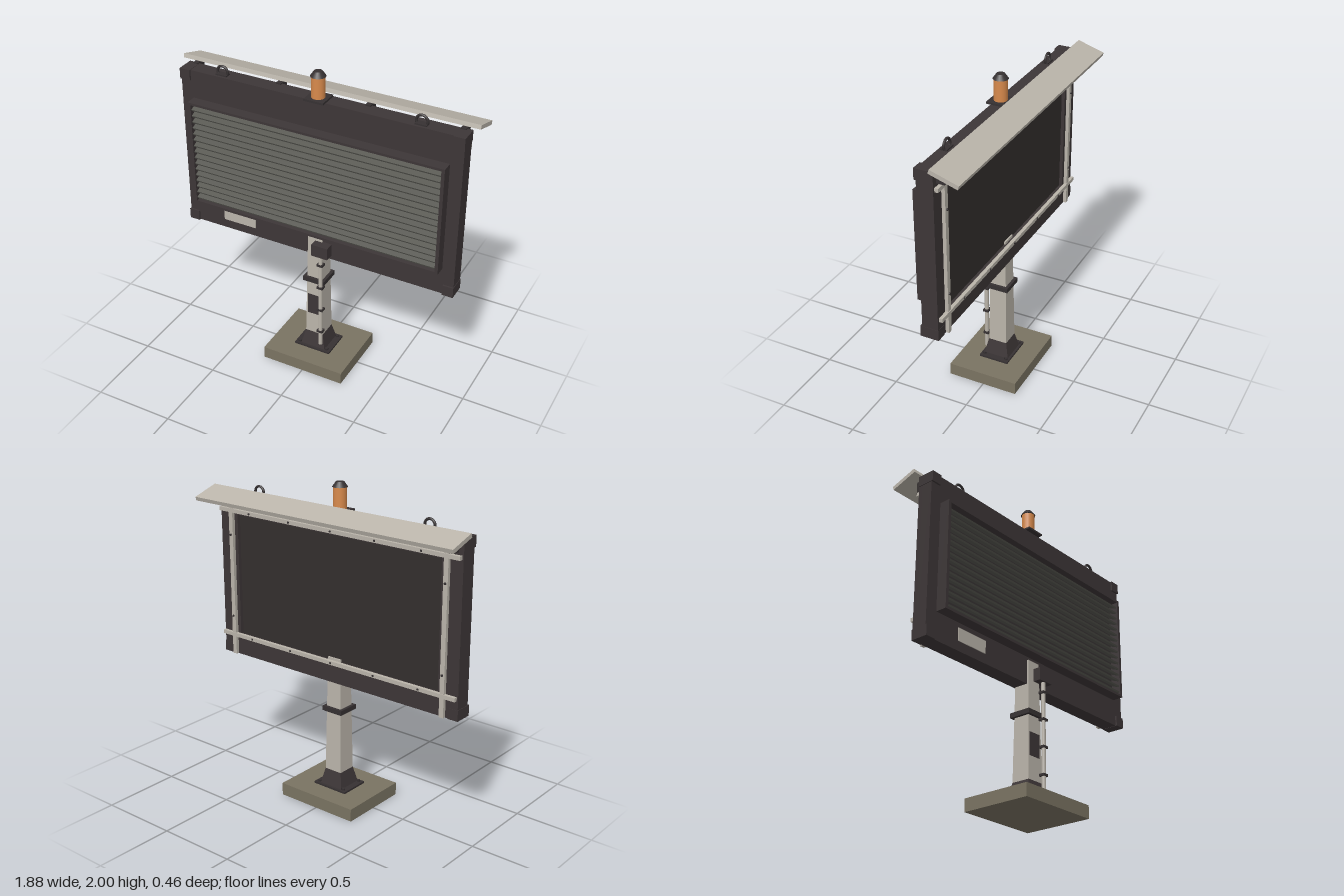
import * as THREE from 'three';

const mat = (name, color) => {
  const m = new THREE.MeshStandardMaterial({ color });
  m.name = name;
  return m;
};

export function createModel() {
  const root = new THREE.Group();
  root.name = 'roadsideDisplay';
  const housing = mat('housing charcoal', 0x3d3637);
  const hardware = mat('dark hardware', 0x363132);
  const screen = mat('screen black', 0x332e2d);
  const steel = mat('pale steel', 0xbab4aa);
  const slatGrey = mat('slat grey', 0x55554f);
  const concrete = mat('concrete', 0x7a7362);
  const amber = mat('amber', 0xd88a4c);

  const add = (name, geo, material, x = 0, y = 0, z = 0) => {
    const m = new THREE.Mesh(geo, material);
    m.name = name;
    m.position.set(x, y, z);
    root.add(m);
    return m;
  };
  // Box given by its lower and upper limits
  const box = (name, material, x0, x1, y0, y1, z0, z1) =>
    add(name, new THREE.BoxGeometry(x1 - x0, y1 - y0, z1 - z0), material,
      (x0 + x1) / 2, (y0 + y1) / 2, (z0 + z1) / 2);
  // Rectangular frame: outer and inner limits as [x half width, y0, y1]
  const frame = (name, material, [ox, oy0, oy1], [ix, iy0, iy1], z0, z1) => {
    const rect = (P, w, a, b) => new P([[-w, a], [w, a], [w, b], [-w, b]].map(p => new THREE.Vector2(...p)));
    const s = rect(THREE.Shape, ox, oy0, oy1);
    s.holes.push(rect(THREE.Path, ix, iy0, iy1));
    return add(name, new THREE.ExtrudeGeometry(s, { depth: z1 - z0, bevelEnabled: false }), material, 0, 0, z0);
  };
  // Square tapered prism with half widths at top and bottom
  const taper = (name, material, top, bottom, y0, y1, z) => {
    const g = new THREE.CylinderGeometry(top * Math.SQRT2, bottom * Math.SQRT2, y1 - y0, 4).toNonIndexed();
    g.rotateY(Math.PI / 4);
    g.computeVertexNormals();
    return add(name, g, material, 0, (y0 + y1) / 2, z);
  };
  const PZ = 0.005; // post centre in depth

  // Foundation and foot
  box('foundation', concrete, -0.275, 0.275, 0, 0.08, -0.222, 0.232);
  box('basePlate', hardware, -0.122, 0.122, 0.08, 0.092, PZ - 0.097, PZ + 0.097);
  taper('postFoot', housing, 0.06, 0.082, 0.092, 0.19, PZ);
  for (const sx of [-1, 1]) for (const sz of [-1, 1])
    add('anchorBolt', new THREE.CylinderGeometry(0.011, 0.011, 0.014, 6), hardware, sx * 0.095, 0.097, PZ + sz * 0.075);

  // Post, collar and access door
  taper('post', steel, 0.048, 0.06, 0.18, 0.935, PZ);
  box('postCollar', hardware, -0.072, 0.072, 0.585, 0.615, PZ - 0.072, PZ + 0.072);
  box('accessDoor', housing, -0.047, 0.04, 0.335, 0.48, 0.055, 0.064);

  // Cable conduit, clamps and junction box
  add('conduit', new THREE.CylinderGeometry(0.013, 0.013, 0.69, 12), steel, 0.053, 0.475, 0.084);
  for (const y of [0.235, 0.405, 0.575, 0.745])
    box('conduitClamp', hardware, 0.033, 0.073, y - 0.007, y + 0.007, 0.064, 0.1);
  box('junctionBox', housing, 0, 0.108, 0.81, 0.89, 0.04, 0.104);

  // Cabinet with a recessed screen at the rear
  box('cabinet', housing, -0.897, 0.897, 0.782, 1.828, -0.03, 0.045);
  frame('rearFrame', housing, [0.897, 0.782, 1.828], [0.76, 0.918, 1.7], -0.055, -0.03);
  box('screen', screen, -0.76, 0.76, 0.918, 1.7, -0.034, -0.03);
  for (const sx of [-1, 1]) for (const y of [0.78, 1.763])
    box('cornerCap', housing, sx * 0.866 - 0.034, sx * 0.866 + 0.034, y, y + 0.067, -0.057, 0.056);
  box('infoPlate', steel, -0.645, -0.42, 0.842, 0.922, 0.043, 0.05);

  // Louvred ventilation box on the front
  frame('louvreFrame', housing, [0.82, 0.955, 1.65], [0.8, 0.97, 1.635], 0.045, 0.115);
  box('louvreBack', hardware, -0.8, 0.8, 0.97, 1.635, 0.045, 0.05);
  const slatGeo = new THREE.BoxGeometry(1.6, 0.011, 0.05);
  for (let i = 0; i < 16; i++)
    add('louvreSlat', slatGeo, slatGrey, 0, 0.997 + i * 0.0407, 0.083).rotation.x = 0.4;

  // Rear mounting rails with bolts
  const rearBolt = (x, y) =>
    add('railBolt', new THREE.CylinderGeometry(0.007, 0.007, 0.012, 8).rotateX(Math.PI / 2), hardware, x, y, -0.077);
  for (const sx of [-1, 1]) {
    box('verticalRail', steel, sx * 0.8 - 0.015, sx * 0.8 + 0.015, 0.784, 1.77, -0.076, -0.055);
    for (const y of [1.04, 1.57]) rearBolt(sx * 0.8, y);
  }
  for (const y of [0.915, 1.725]) {
    box('horizontalRail', steel, -0.89, 0.89, y - 0.012, y + 0.012, -0.08, -0.058);
    for (let i = -2; i <= 2; i++) rearBolt(i * 0.32, y);
  }

  // Sloping rear sun visor and brackets
  const visor = add('visor', new THREE.BoxGeometry(1.884, 0.025, 0.178), steel, 0, 1.83, -0.141);
  visor.rotation.x = -0.3;
  for (const x of [-0.85, -0.285, 0.285, 0.85])
    box('visorBracket', hardware, x - 0.016, x + 0.016, 1.752, 1.836, -0.106, -0.036);

  // Lifting eyes
  for (const sx of [-1, 1]) {
    box('liftingEyeBase', hardware, sx * 0.63 - 0.036, sx * 0.63 + 0.036, 1.826, 1.836, -0.01, 0.03);
    add('liftingEye', new THREE.TorusGeometry(0.034, 0.008, 8, 24), hardware, sx * 0.63, 1.849, 0.01);
  }

  // Warning beacon
  box('beaconPlate', hardware, -0.062, 0.062, 1.828, 1.84, -0.05, 0.074);
  add('beaconLens', new THREE.CylinderGeometry(0.04, 0.04, 0.132, 20), amber, 0, 1.906, 0.012);
  add('beaconCap', new THREE.CylinderGeometry(0.025, 0.046, 0.03, 20), hardware, 0, 1.985, 0.012);

  return root;
}
